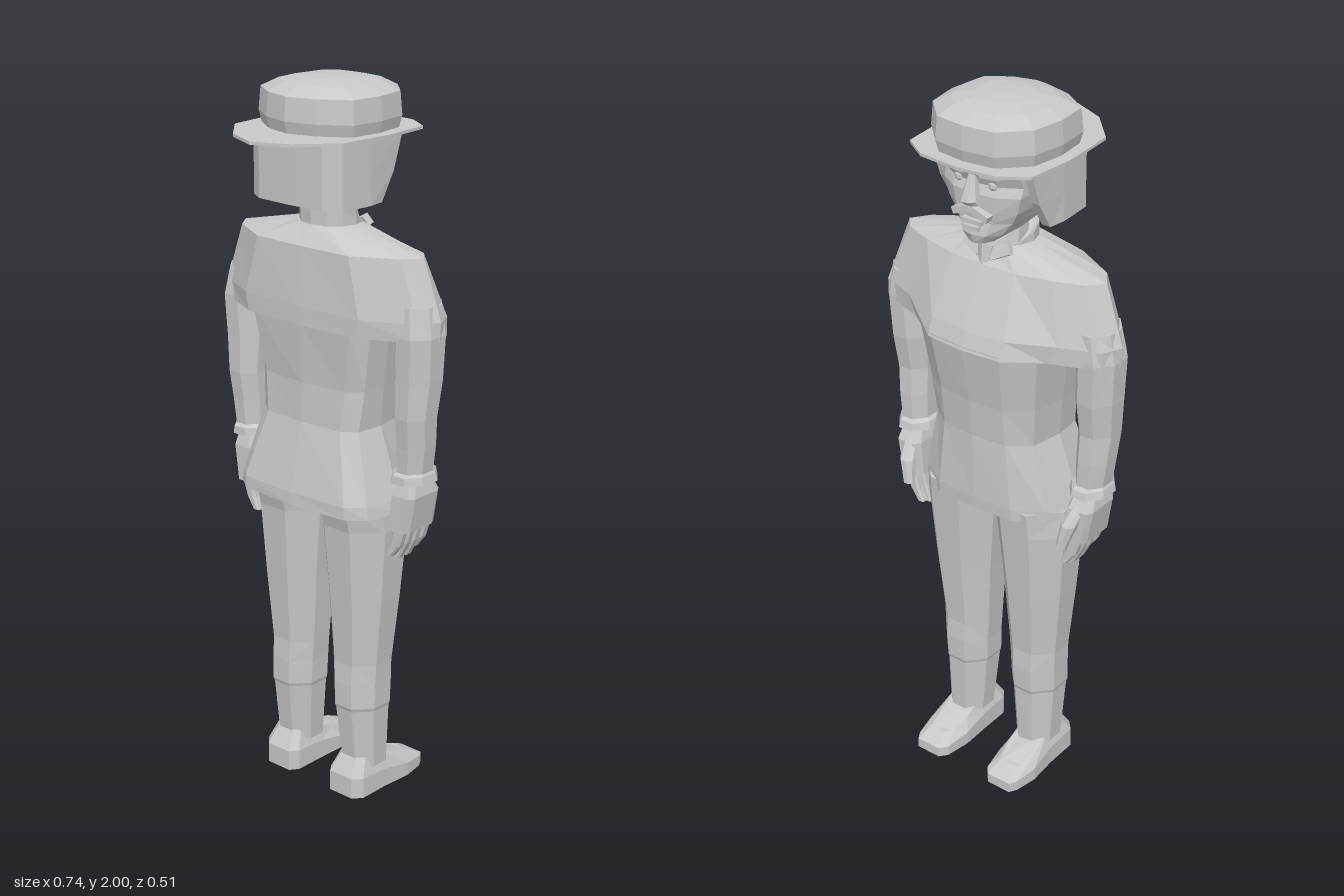
import * as THREE from 'three';

const grey = new THREE.MeshStandardMaterial({ color: 0xc8c8c8 });
grey.name = 'plain grey';
grey.flatShading = true;
grey.side = THREE.DoubleSide;

// Ring at height y from [x, z, optional y] points
const ring = (y, pts, s = 1) => pts.map(([x, z, py]) => new THREE.Vector3(x * s, py ?? y, z));
// Completes a half outline (front to back, ends on x = 0) by mirroring
const full = (half) => [...half, ...half.slice(1, -1).reverse().map(([x, z]) => [-x, z])];
// Eight-sided outline between limits, with cut corners
function oct(x0, x1, z0, z1, k = 0.3) {
  const a = (x1 - x0) * k, b = (z1 - z0) * k;
  return [[x0 + a, z0], [x1 - a, z0], [x1, z0 + b], [x1, z1 - b], [x1 - a, z1], [x0 + a, z1], [x0, z1 - b], [x0, z0 + b]];
}

// Skins a stack of rings and closes both ends, facing outward
function loft(group, name, rings) {
  const n = rings[0].length, verts = rings.flat(), idx = [];
  for (let r = 0; r < rings.length - 1; r++)
    for (let i = 0; i < n; i++) {
      const a = r * n + i, b = r * n + (i + 1) % n;
      idx.push(a, b, a + n, b, b + n, a + n);
    }
  [0, rings.length - 1].forEach((r) => {
    const flat = rings[r].map((p) => new THREE.Vector2(p.x, p.z));
    const cw = THREE.ShapeUtils.isClockWise(flat);
    THREE.ShapeUtils.triangulateShape(flat, []).forEach(([a, b, c]) => {
      // Cap winding agrees with the ring direction, opposite at the two ends
      const f = new THREE.Vector2().subVectors(flat[b], flat[a]).cross(new THREE.Vector2().subVectors(flat[c], flat[a])) < 0;
      const same = f === cw;
      const t = same === (r === 0) ? [a, c, b] : [a, b, c];
      idx.push(...t.map((i) => i + r * n));
    });
  });
  let vol = 0;
  for (let i = 0; i < idx.length; i += 3)
    vol += verts[idx[i]].dot(new THREE.Vector3().crossVectors(verts[idx[i + 1]], verts[idx[i + 2]]));
  if (vol < 0) idx.reverse();
  const g = new THREE.BufferGeometry().setFromPoints(verts);
  g.setIndex(idx);
  const flatG = g.toNonIndexed();
  flatG.computeVertexNormals();
  return add(group, name, flatG);
}

function add(group, name, geo, x = 0, y = 0, z = 0, rx = 0, rz = 0) {
  const m = new THREE.Mesh(geo, grey);
  m.name = name;
  m.position.set(x, y, z);
  m.rotation.set(rx, 0, rz);
  group.add(m);
  return m;
}

function buildJacket(g) {
  // Shoulders and chest
  loft(g, 'shoulders', [
    ring(1.62, full([[0, -0.12, 1.6], [0.045, -0.11], [0.07, -0.09], [0.085, -0.07], [0.09, -0.045], [0.085, -0.01], [0.05, 0.025], [0, 0.03]])),
    ring(1.57, full([[0, -0.15], [0.1, -0.145], [0.2, -0.12], [0.28, -0.09], [0.315, -0.05], [0.28, 0], [0.16, 0.065], [0, 0.07]])),
    ring(1.41, full([[0, -0.22], [0.115, -0.21], [0.24, -0.15], [0.345, -0.11], [0.37, -0.055], [0.335, 0], [0.2, 0.07], [0, 0.08]])),
    ring(1.36, full([[0, -0.235], [0.115, -0.225], [0.21, -0.16], [0.345, -0.11], [0.367, -0.055], [0.335, 0], [0.19, 0.07], [0, 0.08]])),
  ]);
  // Body down to the flared hem
  loft(g, 'jacketBody', [
    ring(1.37, full([[0, -0.233], [0.11, -0.224], [0.19, -0.17], [0.205, -0.05], [0.2, 0.02], [0.17, 0.07], [0, 0.08]])),
    ring(1.2, full([[0, -0.205], [0.1, -0.195], [0.17, -0.15], [0.185, -0.05], [0.18, 0.02], [0.14, 0.055], [0, 0.068]])),
    ring(1.09, full([[0, -0.195], [0.1, -0.185], [0.16, -0.14], [0.177, -0.05], [0.17, 0.03], [0.13, 0.06], [0, 0.07]])),
    ring(0.9, full([[0, -0.195], [0.12, -0.188], [0.2, -0.14], [0.245, -0.05], [0.225, 0.06], [0.18, 0.1], [0, 0.11]])),
    ring(0.865, full([[0, -0.193], [0.12, -0.186], [0.2, -0.14], [0.253, -0.05], [0.23, 0.06], [0.18, 0.1], [0, 0.112]])),
  ]);
}

function buildArm(g, s) {
  const sleeve = [[1.45, 0.24, 0.35, -0.12, 0.01], [1.37, 0.25, 0.365, -0.125, 0.02], [1.25, 0.245, 0.36, -0.12, 0.015],
    [1.15, 0.25, 0.352, -0.105, 0.015], [1.07, 0.25, 0.345, -0.11, 0.005], [0.99, 0.25, 0.335, -0.11, 0]];
  loft(g, 'sleeve', sleeve.map(([y, ...b]) => ring(y, oct(...b), s)));
  loft(g, 'cuff', [[0.998, 0.25, 0.335, -0.11, 0], [0.99, 0.24, 0.34, -0.12, 0.01], [0.968, 0.235, 0.345, -0.125, 0.012]]
    .map(([y, ...b]) => ring(y, oct(...b), s)));
  loft(g, 'hand', [[0.97, 0.26, 0.32, -0.1, -0.01], [0.93, 0.25, 0.328, -0.125, 0.002], [0.83, 0.245, 0.31, -0.125, 0.005]]
    .map(([y, ...b]) => ring(y, oct(...b, 0.15), s)));
  // Four fingers curling inward
  for (let i = 0; i < 4; i++) {
    const z = -0.11 + i * 0.031, tip = i === 0 || i === 3 ? 0.75 : 0.735;
    loft(g, 'finger', [[0.84, 0.262, 0.3], [0.785, 0.25, 0.282], [tip, 0.235, 0.256]]
      .map(([y, x0, x1]) => ring(y, oct(x0, x1, z - 0.013, z + 0.013, 0.2), s)));
  }
  loft(g, 'thumb', [[0.94, 0.265, 0.305, -0.12, -0.08], [0.89, 0.252, 0.295, -0.158, -0.11], [0.825, 0.245, 0.275, -0.165, -0.138]]
    .map(([y, ...b]) => ring(y, oct(...b), s)));
}

function buildLeg(g, s) {
  const rows = [[0.89, 0, 0.23, -0.175, 0.08], [0.81, 0.004, 0.232, -0.168, 0.058], [0.6, 0.024, 0.215, -0.15, 0.042],
    [0.4, 0.037, 0.195, -0.132, 0.027], [0.34, 0.042, 0.193, -0.135, 0.03], [0.27, 0.044, 0.192, -0.132, 0.03],
    [0.26, 0.047, 0.189, -0.128, 0.026], [0.08, 0.062, 0.18, -0.122, 0.005]];
  loft(g, 'trouserLeg', rows.map(([y, ...b]) => ring(y, oct(...b), s)));
  // Shoe: sole outline, then an upper that drops towards the toe
  const sole = [[0.08, 0.04], [0.16, 0.04], [0.183, 0.015], [0.183, -0.08], [0.19, -0.17], [0.178, -0.235], [0.165, -0.257],
    [0.09, -0.257], [0.072, -0.235], [0.06, -0.16], [0.062, -0.08], [0.062, 0.015]];
  const height = (z, lo, hi) => THREE.MathUtils.lerp(hi, lo, THREE.MathUtils.smoothstep(-z, 0.02, 0.25));
  const shrink = (k, lo, hi) => sole.map(([x, z]) => [0.124 + (x - 0.124) * k, -0.08 + (z + 0.08) * k, height(z, lo, hi)]);
  loft(g, 'shoe', [ring(0, sole, s), ring(0, shrink(1, 0.03, 0.06), s), ring(0, shrink(0.72, 0.055, 0.112), s)]);
}

function buildHead(g) {
  // Neck, tilted collar and tie
  add(g, 'neck', new THREE.CylinderGeometry(0.06, 0.068, 0.17, 10), 0, 1.665, -0.05, 0.2);
  const collar = (y0, dy, k) => Array.from({ length: 12 }, (_, i) => {
    const a = i / 12 * Math.PI * 2, c = Math.cos(a);
    return [Math.sin(a) * 0.088 * k, -0.047 + c * 0.078 * k, y0 + c * dy];
  });
  loft(g, 'collar', [ring(0, collar(1.59, 0.015, 1)), ring(0, collar(1.642, 0.03, 1)), ring(0, collar(1.632, 0.03, 0.82))]);
  add(g, 'tieKnot', new THREE.CylinderGeometry(0.026, 0.016, 0.05, 6), 0, 1.59, -0.128, 0.3);
  for (const s of [1, -1]) add(g, 'collarWing', new THREE.BoxGeometry(0.06, 0.03, 0.02), s * 0.042, 1.605, -0.122, 0.4, s * 0.5);

  // Hair: a U-shaped shell open at the face
  const hair = (zf) => full([[0, 0.08], [0.08, 0.075], [0.125, 0.03], [0.13, zf], [0.155, zf], [0.162, -0.02], [0.155, 0.08], [0.11, 0.108], [0, 0.112]]);
  loft(g, 'hair', [ring(1.685, hair(-0.07)), ring(1.76, hair(-0.115)), ring(1.865, hair(-0.15))]);

  // Face wedge
  const face = (y, w, f, b) => ring(y, full([[0, f], [w * 0.5, f + 0.008], [w * 0.9, f + 0.04], [w, b - 0.02], [w * 0.7, b], [0, b]]));
  loft(g, 'face', [face(1.64, 0.04, -0.18, -0.12), face(1.665, 0.07, -0.187, -0.06), face(1.7, 0.1, -0.178, 0.01), face(1.73, 0.118, -0.18, 0.06),
    face(1.775, 0.132, -0.182, 0.07), face(1.8, 0.134, -0.172, 0.07), face(1.83, 0.134, -0.186, 0.07), face(1.865, 0.134, -0.18, 0.07)]);
  loft(g, 'nose', [ring(1.748, oct(-0.026, 0.026, -0.2, -0.165)), ring(1.762, oct(-0.024, 0.024, -0.215, -0.165)), ring(1.825, oct(-0.01, 0.01, -0.19, -0.165))]);
  add(g, 'mouth', new THREE.BoxGeometry(0.06, 0.012, 0.02), 0, 1.7, -0.178);
  add(g, 'lowerLip', new THREE.BoxGeometry(0.044, 0.012, 0.02), 0, 1.684, -0.181);
  for (const s of [1, -1]) {
    add(g, 'moustache', new THREE.BoxGeometry(0.055, 0.018, 0.024), s * 0.028, 1.728, -0.183, 0, -s * 0.35);
    add(g, 'eye', new THREE.SphereGeometry(0.016, 8, 5), s * 0.052, 1.802, -0.16);
    add(g, 'eyebrow', new THREE.BoxGeometry(0.06, 0.012, 0.022), s * 0.055, 1.832, -0.176, 0, s * 0.12);
  }

  // Cap: thin brim with a long peak, faceted crown
  const brim = full([[0, -0.25], [0.115, -0.238], [0.187, -0.19], [0.2, -0.05], [0.187, 0.115], [0.1, 0.21], [0, 0.255]]);
  loft(g, 'capBrim', [ring(1.861, brim), ring(1.869, brim)]);
  const outline = full([[0, -0.222], [0.09, -0.21], [0.16, -0.14], [0.175, -0.045], [0.165, 0.05], [0.085, 0.105], [0, 0.128]]);
  const rows = [[1.865, 0.95], [1.9, 1], [1.962, 0.97], [1.985, 0.72], [1.996, 0.42], [2, 0.12]];
  loft(g, 'capCrown', rows.map(([y, k]) => ring(y, outline.map(([x, z]) => [x * k, -0.047 + (z + 0.047) * k]))));
}

export function createModel() {
  const model = new THREE.Group();
  model.name = 'figure';
  const part = (name) => {
    const g = new THREE.Group();
    g.name = name;
    model.add(g);
    return g;
  };
  buildHead(part('head'));
  buildJacket(part('jacket'));
  for (const s of [1, -1]) {
    // The figure looks towards -z, sides are named for the +z front
    const side = s > 0 ? 'left' : 'right';
    buildArm(part(side + 'Arm'), s);
    buildLeg(part(side + 'Leg'), s);
  }
  return model;
}
